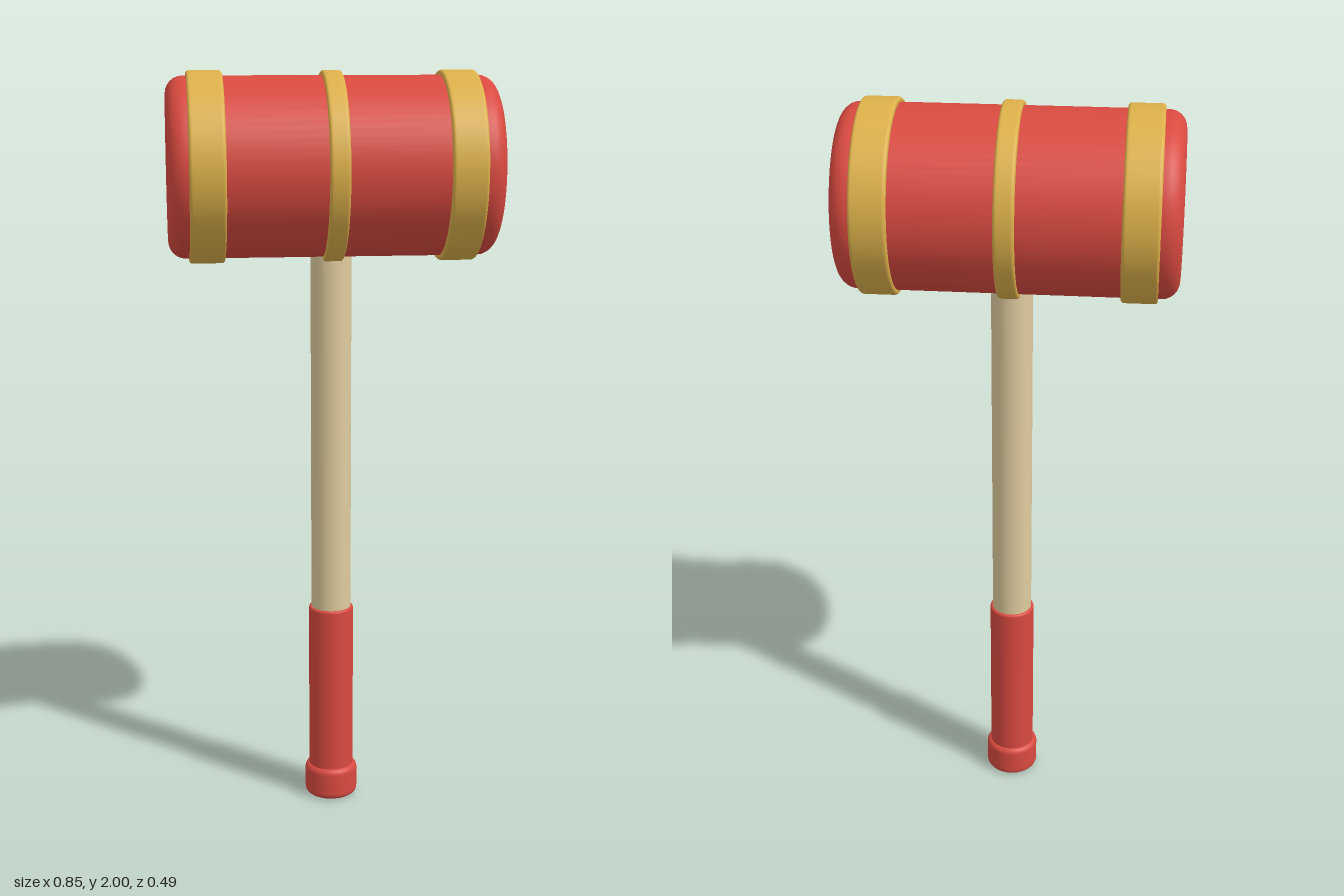
import * as THREE from 'three';

// Solid of revolution about y with rounded rims, standing from y0 to y1
function roundedCylinder(radius, y0, y1, bevel, segments = 64) {
  const steps = 6;
  const inner = radius - bevel;
  const pts = [new THREE.Vector2(0, y0), new THREE.Vector2(inner * 0.97, y0)];
  for (let i = 0; i <= steps; i++) {
    const a = (i / steps) * Math.PI / 2;
    pts.push(new THREE.Vector2(inner + bevel * Math.sin(a), y0 + bevel * (1 - Math.cos(a))));
  }
  // Support rings keep the wall and the caps evenly shaded
  const support = Math.min(bevel * 0.3, (y1 - y0 - 2 * bevel) * 0.3);
  pts.push(new THREE.Vector2(radius, y0 + bevel + support));
  pts.push(new THREE.Vector2(radius, y1 - bevel - support));
  for (let i = 0; i <= steps; i++) {
    const a = (i / steps) * Math.PI / 2;
    pts.push(new THREE.Vector2(inner + bevel * Math.cos(a), y1 - bevel * (1 - Math.sin(a))));
  }
  pts.push(new THREE.Vector2(inner * 0.97, y1), new THREE.Vector2(0, y1));
  return new THREE.LatheGeometry(pts, segments);
}

export function createModel() {
  const red = new THREE.MeshStandardMaterial({ color: 0xd94a40 });
  red.name = 'red paint';
  const gold = new THREE.MeshStandardMaterial({ color: 0xdcb04a });
  gold.name = 'gold';
  const wood = new THREE.MeshStandardMaterial({ color: 0xdfcb9e });
  wood.name = 'pale wood';

  const model = new THREE.Group();
  model.name = 'mallet';
  const add = (parent, name, geometry, material) => {
    const mesh = new THREE.Mesh(geometry, material);
    mesh.name = name;
    parent.add(mesh);
    return mesh;
  };

  // Handle, grip and end cap
  add(model, 'handle', roundedCylinder(0.054, 0.5, 1.6, 0.005, 40), wood);
  add(model, 'grip', roundedCylinder(0.061, 0.05, 0.555, 0.006, 40), red);
  add(model, 'pommel', roundedCylinder(0.072, 0, 0.09, 0.016, 40), red);

  // Head lies along x, its local y axis turned sideways
  const head = new THREE.Group();
  head.name = 'head';
  head.position.y = 1.755;
  head.rotation.z = -Math.PI / 2;
  model.add(head);
  add(head, 'headBarrel', roundedCylinder(0.232, -0.425, 0.425, 0.045), red);

  // Bands around the barrel
  const bands = [
    ['rightBand', -0.326, 0.092],
    ['middleBand', 0, 0.052],
    ['leftBand', 0.326, 0.092],
  ];
  for (const [name, x, width] of bands) {
    add(head, name, roundedCylinder(0.245, x - width / 2, x + width / 2, 0.008), gold);
  }

  return model;
}
